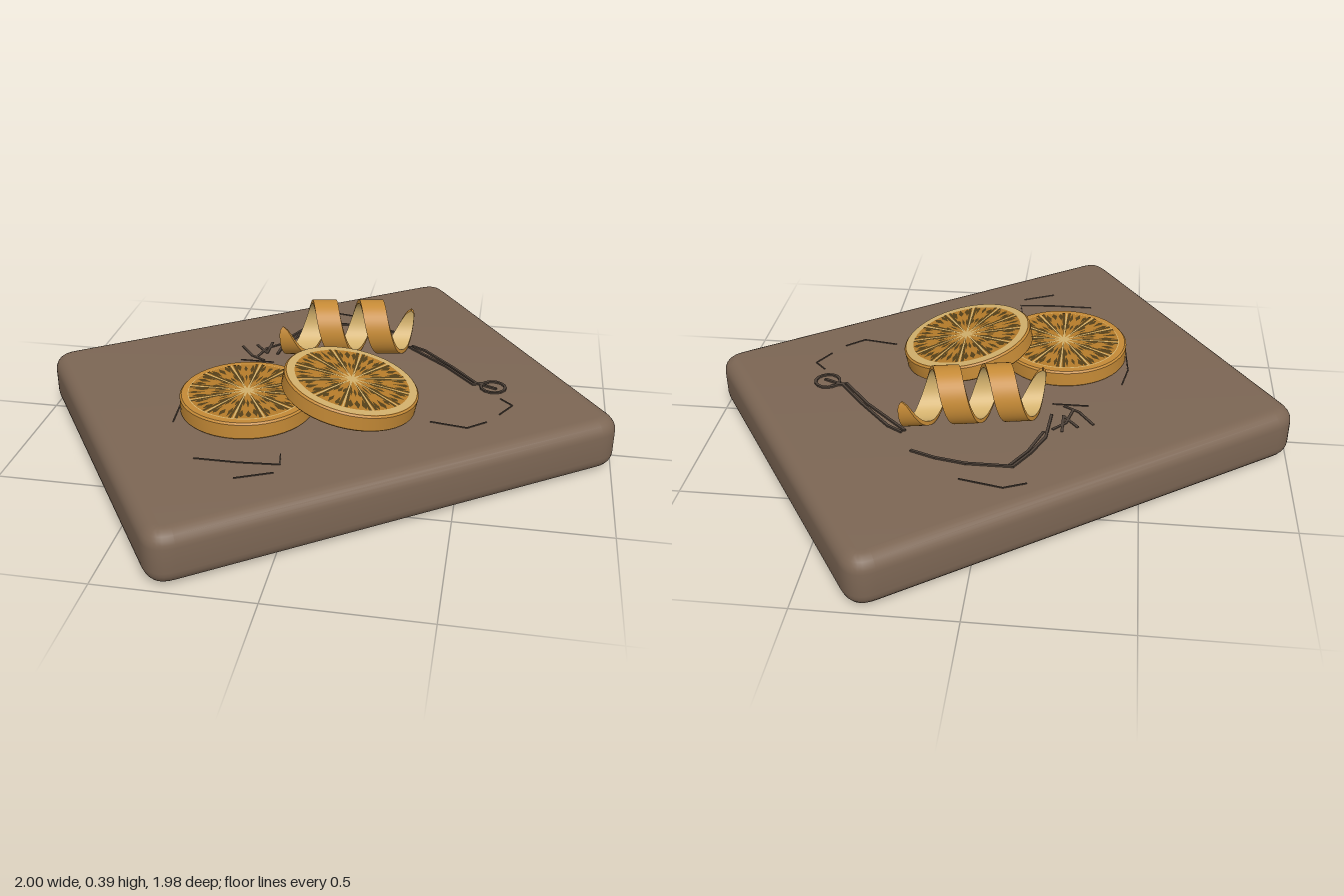
import * as THREE from 'three';
import { mergeGeometries, toCreasedNormals } from 'three/addons/utils/BufferGeometryUtils.js';
import { ParametricGeometry } from 'three/addons/geometries/ParametricGeometry.js';

const mat = (name, color, side = THREE.FrontSide) => {
  const m = new THREE.MeshStandardMaterial({ color, side });
  m.name = name;
  return m;
};
const mats = {
  board: mat('boardBrown', 0x7c6654),
  rind: mat('rindOrange', 0xc58a36, THREE.DoubleSide),
  pith: mat('pithCream', 0xd2b06c, THREE.DoubleSide),
  flesh: mat('fleshOrange', 0xb67c2a),
  streak: mat('pulpBrown', 0x554019),
  crack: mat('crackBrown', 0x4c4037),
  patch: mat('undersideRust', 0x78390c),
};
const mesh = (name, geometry, material) => {
  const m = new THREE.Mesh(geometry, material);
  m.name = name;
  return m;
};

// Small seeded generator for natural variation
let seed = 7;
const rnd = () => {
  seed = (seed * 16807) % 2147483647;
  return seed / 2147483647;
};

// Flat outlines in (x, z), facing up or down
const shapeOf = (pts, s) => new THREE.ShapeGeometry(new THREE.Shape(pts.map(([x, z]) => new THREE.Vector2(x, s * z))));
const flatUp = (pts) => shapeOf(pts, -1).rotateX(-Math.PI / 2);
const flatDown = (pts) => shapeOf(pts, 1).rotateX(Math.PI / 2);

// Thin raised line along a list of (x, z) points
function line(pts, y, width, height) {
  const parts = [];
  for (let i = 1; i < pts.length; i++) {
    const [ax, az] = pts[i - 1], [bx, bz] = pts[i];
    const g = new THREE.BoxGeometry(Math.hypot(bx - ax, bz - az) + width * 0.5, height, width);
    g.rotateY(-Math.atan2(bz - az, bx - ax));
    g.translate((ax + bx) / 2, y, (az + bz) / 2);
    parts.push(g);
  }
  return mergeGeometries(parts);
}

// Slanted board with rounded corners and edges
function makeBoard() {
  const bevel = 0.05, bottom = 0.005, top = 0.186;
  const corners = [[-1.03, 0.08], [-0.31, -1.018], [1.03, -0.08], [0.31, 1.018]].map((p) => new THREE.Vector2(...p));
  const shape = new THREE.Shape();
  corners.forEach((c, i) => {
    const toward = (o) => c.clone().add(o.clone().sub(c).setLength(0.085));
    const a = toward(corners[(i + 3) % 4]), b = toward(corners[(i + 1) % 4]);
    if (i === 0) shape.moveTo(a.x, a.y);
    else shape.lineTo(a.x, a.y);
    shape.quadraticCurveTo(c.x, c.y, b.x, b.y);
  });
  shape.closePath();
  const g = new THREE.ExtrudeGeometry(shape, {
    depth: top - bottom - 2 * bevel, bevelThickness: bevel, bevelSize: bevel,
    bevelOffset: -bevel, bevelSegments: 6, curveSegments: 8,
  });
  g.rotateX(-Math.PI / 2).translate(0, bottom + bevel, 0);
  return mesh('board', toCreasedNormals(g, 0.6), mats.board);
}

// Citrus slice: rind disc, pith face, flesh wedges and dark pulp streaks
function makeSlice(name, radius, thick, rim, paleRim) {
  const g = new THREE.Group();
  g.name = name;
  const h = thick / 2, b = 0.006;
  const profile = [[0, -h], [radius - b, -h], [radius, -h + b], [radius, h - b], [radius - b, h], [0, h]];
  const body = new THREE.LatheGeometry(profile.map((p) => new THREE.Vector2(...p)), 48);
  g.add(mesh('rind', toCreasedNormals(body, 0.7), mats.rind));
  const face = new THREE.CircleGeometry(paleRim ? radius - 0.008 : radius - rim + 0.003, 48);
  g.add(mesh('pith', face.rotateX(-Math.PI / 2).translate(0, h + 0.001, 0), mats.pith));

  const wedges = [], streaks = [], count = 12, outer = radius - rim;
  const polar = (r, a) => [r * Math.cos(a), r * Math.sin(a)];
  for (let i = 0; i < count; i++) {
    const span = (Math.PI * 2) / count, a0 = i * span + 0.012, a1 = (i + 1) * span - 0.012;
    const pts = [polar(0.016, (a0 + a1) / 2)];
    for (let k = 0; k <= 5; k++) pts.push(polar(outer, a0 + ((a1 - a0) * k) / 5));
    wedges.push(flatUp(pts));
    // Uneven pulp marks: dark lines beside each membrane, broken shards between
    for (const [edge, s] of [[a0, 1], [a1, -1]]) {
      const a = edge + s * 0.045;
      streaks.push(flatUp([polar(0.03, a), polar(outer * 0.6, a - 0.035), polar(outer, a - 0.025), polar(outer, a + 0.025), polar(outer * 0.6, a + 0.035)]));
    }
    for (let k = 0; k < 6; k++) {
      const a = a0 + 0.11 + (a1 - a0 - 0.22) * ((k % 3) / 2);
      const r0 = k < 3 ? 0.05 + rnd() * 0.025 : 0.125 + rnd() * 0.02;
      const r1 = k < 3 ? 0.105 + rnd() * 0.02 : outer - rnd() * 0.015;
      const w = 0.038 + rnd() * 0.025, mid = r0 + (r1 - r0) * (0.4 + rnd() * 0.4);
      streaks.push(flatUp([polar(r0, a), polar(mid, a - w), polar(r1, a), polar(mid, a + w)]));
    }
  }
  g.add(mesh('fleshWedges', mergeGeometries(wedges).translate(0, h + 0.002, 0), mats.flesh));
  g.add(mesh('pulpStreaks', mergeGeometries(streaks).translate(0, h + 0.003, 0), mats.streak));
  return g;
}

// Curled peel: a tapering helical ribbon, orange outside and cream inside
function makePeel() {
  const g = new THREE.Group();
  g.name = 'peelCurl';
  const start = -1.5 * Math.PI - 0.4, end = 3.5 * Math.PI + 0.35;
  const point = (u, side, radius, target) => {
    const a = start + (end - start) * u;
    const half = 0.042 * Math.min(1, Math.sqrt(Math.min(u, 1 - u) * 9) + 0.03);
    const x = -0.03 + (0.165 * a) / (Math.PI * 2) + side * half;
    target.set(x, 0.292 + radius * Math.cos(a), -0.258 - 0.19 * (x - 0.06) + 0.92 * radius * Math.sin(a));
  };
  const R = 0.1, r = 0.086;
  const surface = (name, fn, material) => g.add(mesh(name, new ParametricGeometry(fn, 120, 2), material));
  surface('peelOutside', (u, v, t) => point(u, v * 2 - 1, R, t), mats.rind);
  surface('peelInside', (u, v, t) => point(u, 1 - v * 2, r, t), mats.pith);
  for (const s of [-1, 1]) {
    surface('peelEdge', (u, v, t) => point(u, s, s > 0 ? R + (r - R) * v : r + (R - r) * v, t), mats.rind);
  }
  return g;
}

// Fine dark marks on the top of the board
function makeTopMarks() {
  const ring = [];
  for (let i = 0; i <= 14; i++) ring.push([0.59 + 0.042 * Math.cos(i * 0.45), -0.07 + 0.042 * Math.sin(i * 0.45)]);
  const paths = [
    [[0.28, -0.35], [0.33, -0.32], [0.44, -0.2], [0.53, -0.09], [0.6, -0.06]],
    [[0.27, -0.34], [0.42, -0.2], [0.52, -0.08], [0.57, -0.1]],
    ring,
    [[-0.2, -0.2], [-0.19, -0.33], [-0.15, -0.42], [-0.1, -0.5], [0.05, -0.5], [0.15, -0.48], [0.23, -0.45]],
    [[-0.18, -0.3], [-0.14, -0.41], [-0.09, -0.49]],
    [[-0.34, -0.24], [-0.29, -0.17], [-0.24, -0.14]],
    [[-0.29, -0.26], [-0.24, -0.2], [-0.24, -0.29]],
    [[-0.27, -0.16], [-0.25, -0.24], [-0.21, -0.28]],
    [[-0.32, -0.13], [-0.2, -0.13]],
    [[-0.15, -0.58], [-0.08, -0.61], [0.06, -0.58]],
    [[-0.43, 0.02], [-0.45, 0.12], [-0.43, 0.36]],
    [[-0.3, 0.57], [-0.16, 0.57], [-0.03, 0.56], [-0.04, 0.5]],
    [[-0.15, 0.66], [-0.04, 0.61]],
    [[0.4, 0.21], [0.52, 0.23], [0.58, 0.18]],
    [[0.62, 0.01], [0.66, 0.05], [0.62, 0.12]],
  ];
  const parts = paths.map((p, i) => line(p, 0.187, i < 8 ? 0.009 : 0.004, i < 4 ? 0.01 : 0.004));
  return mesh('topMarks', mergeGeometries(parts), mats.crack);
}

// Irregular stains and cracks on the underside
function makeUnderside() {
  const g = new THREE.Group();
  g.name = 'underside';
  const stains = (list, sides) => mergeGeometries(list.map(([x, z, r]) => {
    const pts = [];
    for (let i = 0; i < sides; i++) {
      const a = (i / sides) * Math.PI * 2, k = r * (0.75 + rnd() * 0.45);
      pts.push([x + k * Math.cos(a), z + k * Math.sin(a)]);
    }
    return flatDown(pts);
  }));
  const rust = [
    [0.36, -0.14, 0.14], [0.24, -0.1, 0.1], [0.11, -0.41, 0.1], [0.05, -0.33, 0.07], [0.38, 0.2, 0.06], [-0.21, -0.27, 0.06],
    [0.17, 0.35, 0.08], [0.13, 0.1, 0.07], [-0.13, 0.38, 0.08], [-0.35, 0.31, 0.05], [-0.04, -0.12, 0.06],
  ];
  const orange = [[0.05, 0.04, 0.07], [-0.26, 0.01, 0.12], [-0.14, -0.16, 0.06], [0.13, 0.25, 0.05]];
  g.add(mesh('rustStains', stains(rust, 9).translate(0, 0.002, 0), mats.patch));
  g.add(mesh('orangeStains', stains(orange, 5).translate(0, 0.001, 0), mats.rind));
  const cracks = [];
  for (let i = 0; i < 22; i++) {
    const a = i * 0.62, r = 0.25 + rnd() * 0.22;
    const pts = [[r * Math.cos(a), r * Math.sin(a)]];
    for (let k = 0; k < 3; k++) pts.push([pts[k][0] + (rnd() - 0.5) * 0.15, pts[k][1] + (rnd() - 0.5) * 0.15]);
    cracks.push(line(pts, 0.004, 0.004, 0.004));
  }
  g.add(mesh('undersideCracks', mergeGeometries(cracks), mats.crack));
  return g;
}

export function createModel() {
  const model = new THREE.Group();
  model.name = 'citrusBoard';
  const flatSlice = makeSlice('flatSlice', 0.225, 0.06, 0.03, false);
  flatSlice.position.set(-0.215, 0.214, 0.21);
  const leaningSlice = makeSlice('leaningSlice', 0.229, 0.06, 0.034, true);
  leaningSlice.position.set(0.122, 0.254, 0.142);
  leaningSlice.rotation.z = -0.2;
  model.add(makeBoard(), makeTopMarks(), flatSlice, leaningSlice, makePeel(), makeUnderside());
  return model;
}
